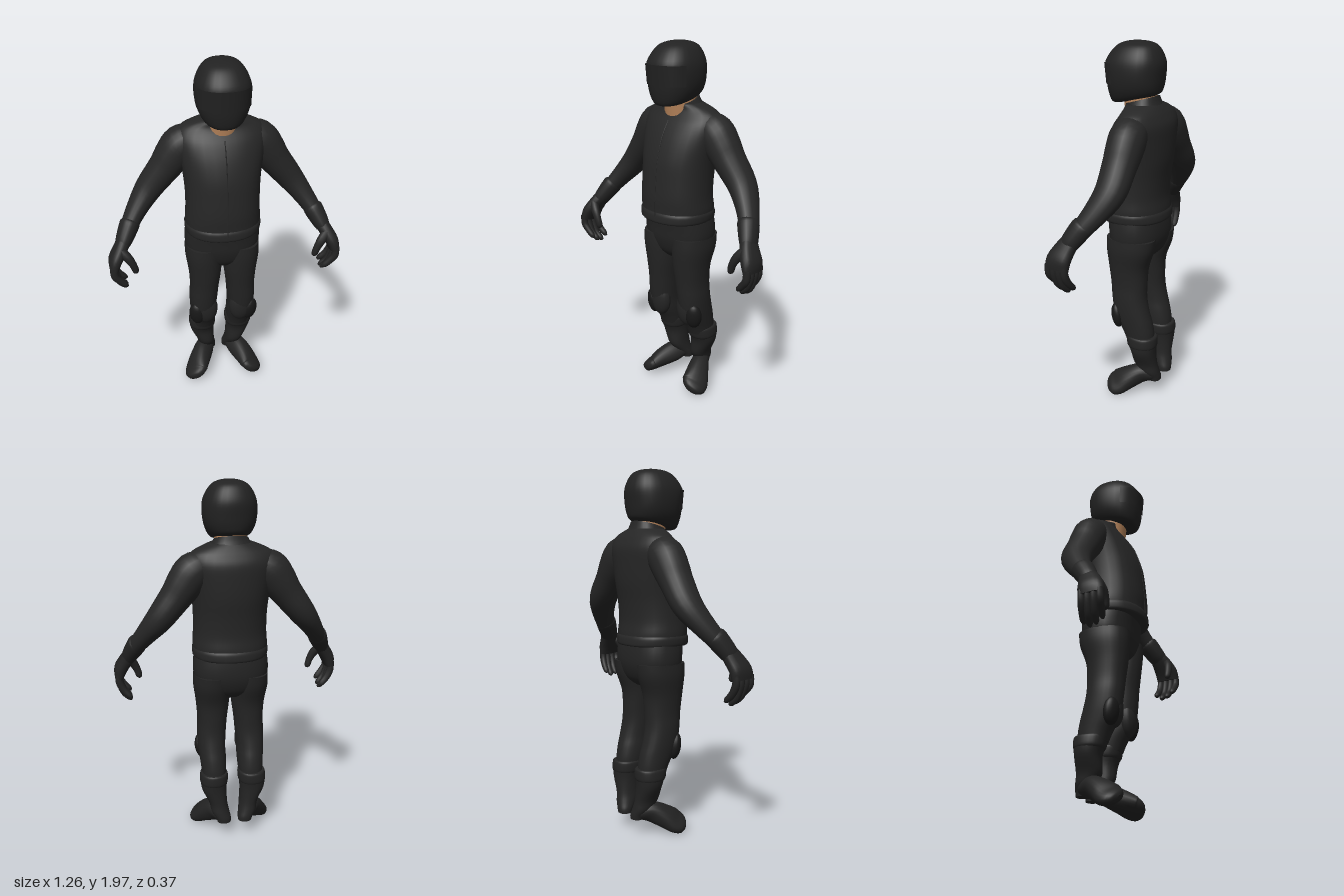
import * as THREE from 'three';

const mat = (name, color) => Object.assign(new THREE.MeshStandardMaterial({ color }), { name });
const V = (x, y, z) => new THREE.Vector3(x, y, z);

// Smoothly resample rows of numbers
function smooth(rows, per = 4) {
  const out = [];
  const at = (i) => rows[Math.min(Math.max(i, 0), rows.length - 1)];
  for (let i = 0; i < rows.length - 1; i++) {
    for (let k = 0; k < per; k++) {
      const t = k / per;
      out.push(rows[i].map((b, c) => {
        const a = at(i - 1)[c], d = at(i + 1)[c], e = at(i + 2)[c];
        return b + 0.5 * t * (d - a + t * (2 * a - 5 * b + 4 * d - e + t * (3 * (b - d) + e - a)));
      }));
    }
  }
  out.push(rows[rows.length - 1]);
  return out;
}

// Skin closed rings of points, with both ends capped
function skin(rings) {
  const n = rings[0].length, pos = [], idx = [];
  rings.forEach((r) => r.forEach((p) => pos.push(p.x, p.y, p.z)));
  for (let j = 0; j < rings.length - 1; j++) {
    for (let i = 0; i < n; i++) {
      const a = j * n + i, b = j * n + (i + 1) % n;
      idx.push(a, a + n, b, b, a + n, b + n);
    }
  }
  [rings[0], rings[rings.length - 1]].forEach((r, end) => {
    const base = pos.length / 3;
    const c = r.reduce((s, p) => s.add(p), V(0, 0, 0)).divideScalar(n);
    [...r, c].forEach((p) => pos.push(p.x, p.y, p.z));
    for (let i = 0; i < n; i++) {
      const a = base + i, b = base + (i + 1) % n;
      idx.push(base + n, ...(end ? [b, a] : [a, b]));
    }
  });
  const g = new THREE.BufferGeometry();
  g.setAttribute('position', new THREE.Float32BufferAttribute(pos, 3));
  g.setIndex(idx);
  g.computeVertexNormals();
  return g;
}

// Superellipse coordinates around a section
const pw = (v, e) => Math.sign(v) * Math.abs(v) ** (2 / e);
const around = (e, n = 28) => Array.from({ length: n }, (_, i) => {
  const a = i / n * Math.PI * 2;
  return [pw(Math.cos(a), e), pw(Math.sin(a), e)];
});

// Level sections from bottom to top: [y, cx, cz, rx, rz, tilt]
const stack = (rows, e = 2.2) => skin(smooth(rows).map(([y, cx, cz, rx, rz, tilt = 0]) =>
  around(e).map(([c, s]) => V(cx + rx * c, y + tilt * rz * s, cz + rz * s))));

// Sections across a path: [x, y, z, ra, rb]
function limb(rows, ref = V(0, 0, 1), e = 2, n = 20) {
  const rs = smooth(rows);
  return skin(rs.map((r, i) => {
    const p = rs[Math.max(i - 1, 0)], q = rs[Math.min(i + 1, rs.length - 1)];
    const t = V(q[0] - p[0], q[1] - p[1], q[2] - p[2]).normalize();
    const a = t.clone().cross(ref).normalize(), b = a.clone().cross(t);
    return around(e, n).map(([c, s]) => V(r[0], r[1], r[2]).addScaledVector(a, r[3] * c).addScaledVector(b, r[4] * s));
  }));
}

function mirror(g) {
  const m = g.clone().scale(-1, 1, 1), ix = m.index.array;
  for (let i = 0; i < ix.length; i += 3) [ix[i], ix[i + 1]] = [ix[i + 1], ix[i]];
  m.computeVertexNormals();
  return m;
}

export function createModel() {
  const root = new THREE.Group();
  root.name = 'rider';
  const jacket = mat('jacketBlack', 0x262626), trouser = mat('trouserBlack', 0x242424);
  const leather = mat('leatherBlack', 0x232323), shell = mat('helmetBlack', 0x222222);
  const dark = mat('trimBlack', 0x181818), skinTone = mat('skin', 0xb5835a);
  const add = (name, g, m) => {
    const mesh = new THREE.Mesh(g, m);
    mesh.name = name;
    root.add(mesh);
  };
  const pair = (name, g, m) => {
    add(name + 'Left', g, m);
    add(name + 'Right', mirror(g), m);
  };

  // Helmet: flat chin bar, bulging brow and rounded crown
  const helmetRows = [
    [1.70, 0, 0.015, 0.075, 0.105, -0.2], [1.715, 0, 0.01, 0.105, 0.132, -0.2],
    [1.76, 0, 0.012, 0.13, 0.145, -0.1], [1.82, 0, 0.013, 0.142, 0.152, 0],
    [1.885, 0, 0.014, 0.14, 0.158, 0], [1.935, 0, 0.008, 0.122, 0.138, 0],
    [1.975, 0, 0.002, 0.092, 0.106, 0], [1.993, 0, 0, 0.055, 0.066, 0], [2, 0, 0, 0.015, 0.018, 0]];
  add('helmet', stack(helmetRows, 2.3), shell);
  // Visor: thin face wrapped over the front of the helmet
  const visor = new THREE.PlaneGeometry(1, 1, 24, 4);
  const vp = visor.attributes.position;
  for (let i = 0; i < vp.count; i++) {
    const a = vp.getX(i) * 2.3, k = vp.getY(i) + 0.5;
    const rx = 0.141 + 0.004 * k, rz = 0.151 + 0.011 * k;
    vp.setXYZ(i, rx * pw(Math.sin(a), 2.3), 1.785 + 0.105 * k, 0.014 + rz * pw(Math.cos(a), 2.3));
  }
  visor.computeVertexNormals();
  add('visor', visor, shell);
  add('neck', stack([[1.6, 0, -0.03, 0.085, 0.09], [1.75, 0, -0.01, 0.085, 0.085]]), skinTone);

  // Jacket body, hem and collar
  add('jacketBody', stack([
    [1.085, 0, 0.005, 0.198, 0.172], [1.13, 0, 0.005, 0.204, 0.172], [1.2, 0, 0.01, 0.2, 0.17],
    [1.3, 0, 0.003, 0.2, 0.17], [1.4, 0, -0.01, 0.208, 0.171], [1.5, 0, -0.027, 0.225, 0.158],
    [1.58, 0, -0.045, 0.236, 0.137], [1.63, 0, -0.053, 0.222, 0.108], [1.66, 0, -0.05, 0.18, 0.092],
    [1.685, 0, -0.038, 0.115, 0.085]]), jacket);
  add('hemBand', stack([[1.065, 0, 0.005, 0.196, 0.176], [1.075, 0, 0.005, 0.205, 0.181],
    [1.105, 0, 0.005, 0.208, 0.179], [1.12, 0, 0.005, 0.203, 0.172]]), jacket);
  add('collar', stack([[1.65, 0, -0.045, 0.125, 0.09, -0.1], [1.68, 0, -0.035, 0.103, 0.085, -0.2],
    [1.703, 0, -0.025, 0.09, 0.088, -0.27]]), jacket);

  // Front zip, pocket zips and chest pocket slit, as thin strips
  const strip = (pts, r) => new THREE.TubeGeometry(new THREE.CatmullRomCurve3(pts.map((p) => V(...p))), 12, r, 5);
  add('frontZip', strip([[0, 1.08, 0.183], [0, 1.2, 0.179], [0, 1.4, 0.16], [0, 1.52, 0.125], [0, 1.6, 0.078]], 0.003), jacket);
  pair('pocketZip', strip([[0.135, 1.16, 0.137], [0.15, 1.24, 0.122], [0.145, 1.32, 0.12]], 0.004), dark);
  add('chestPocket', strip([[0.115, 1.53, 0.094], [0.14, 1.54, 0.076], [0.162, 1.545, 0.06]], 0.004), dark);

  // Sleeves, slightly bent at the elbow
  pair('sleeve', limb([
    [0.13, 1.58, -0.055, 0.075, 0.08], [0.2, 1.545, -0.06, 0.1, 0.097], [0.25, 1.48, -0.062, 0.098, 0.096],
    [0.3, 1.41, -0.063, 0.085, 0.09], [0.385, 1.3, -0.062, 0.072, 0.084], [0.46, 1.2, -0.015, 0.055, 0.066],
    [0.52, 1.11, 0.045, 0.043, 0.05]]), jacket);

  // Gloves: cuff, palm, four curled fingers and a thumb
  pair('gloveCuff', limb([[0.495, 1.155, 0.02, 0.044, 0.052], [0.503, 1.14, 0.03, 0.053, 0.06],
    [0.535, 1.08, 0.068, 0.046, 0.054], [0.55, 1.05, 0.085, 0.038, 0.05]]), leather);
  pair('palm', limb([[0.535, 1.08, 0.07, 0.036, 0.045], [0.565, 1.03, 0.095, 0.037, 0.058],
    [0.593, 0.98, 0.113, 0.036, 0.067], [0.603, 0.935, 0.118, 0.026, 0.066]], undefined, 2.4), leather);
  [0, 1, 2, 3].forEach((i) => {
    const z = 0.07 + 0.032 * i, d = [0.0, -0.02, -0.012, 0.012][i];
    pair('finger' + (i + 1), limb([[0.606, 0.96, z, 0.02, 0.017], [0.604, 0.91, z, 0.021, 0.019],
      [0.583, 0.865 + d, z - 0.004, 0.019, 0.018], [0.552, 0.832 + d, z - 0.01, 0.016, 0.016],
      [0.537, 0.822 + d, z - 0.012, 0.006, 0.006]], undefined, 2, 10), leather);
  });
  pair('thumb', limb([[0.56, 1.04, 0.125, 0.026, 0.026], [0.526, 1.0, 0.145, 0.025, 0.024],
    [0.502, 0.955, 0.15, 0.02, 0.02], [0.491, 0.918, 0.148, 0.017, 0.017],
    [0.489, 0.905, 0.147, 0.006, 0.006]], undefined, 2, 10), leather);

  // Trousers: hips and two legs
  add('hips', stack([[0.84, 0, -0.01, 0.07, 0.075], [0.88, 0, -0.015, 0.16, 0.115], [0.95, 0, -0.017, 0.2, 0.14],
    [1.02, 0, -0.015, 0.206, 0.145], [1.1, 0, -0.005, 0.196, 0.145]], 2.4), trouser);
  pair('trouserLeg', stack([
    [0.37, 0.105, -0.075, 0.065, 0.08], [0.42, 0.105, -0.063, 0.07, 0.09], [0.48, 0.107, -0.04, 0.074, 0.102],
    [0.54, 0.11, -0.022, 0.076, 0.103], [0.62, 0.108, -0.008, 0.08, 0.1], [0.7, 0.103, -0.003, 0.082, 0.103],
    [0.8, 0.1, 0, 0.092, 0.113], [0.9, 0.104, -0.012, 0.102, 0.135], [0.97, 0.104, -0.017, 0.1, 0.14]]), trouser);
  // Knee panel and outer slider
  pair('kneePanel', new THREE.SphereGeometry(1, 20, 14).scale(0.066, 0.1, 0.045).translate(0.1, 0.54, 0.04), trouser);
  pair('kneeSlider', new THREE.SphereGeometry(1, 20, 14).scale(0.045, 0.073, 0.032)
    .rotateX(0.15).rotateY(0.6).translate(0.157, 0.51, 0.045), dark);

  // Boots: shaft with heel, top cuff and a foot turned out with its sole tipped inward
  pair('bootShaft', stack([
    [0.11, 0.06, -0.143, 0.038, 0.036], [0.135, 0.064, -0.138, 0.043, 0.042], [0.17, 0.078, -0.12, 0.05, 0.055],
    [0.22, 0.088, -0.1, 0.052, 0.068], [0.3, 0.108, -0.098, 0.069, 0.07], [0.36, 0.109, -0.089, 0.076, 0.084]]), leather);
  pair('bootCuff', stack([[0.335, 0.109, -0.091, 0.072, 0.078], [0.35, 0.109, -0.09, 0.078, 0.085],
    [0.39, 0.107, -0.086, 0.077, 0.088], [0.4, 0.107, -0.085, 0.07, 0.083]]), leather);
  pair('bootFoot', limb([
    [0.062, 0.15, -0.16, 0.025, 0.022], [0.072, 0.15, -0.135, 0.042, 0.04], [0.1, 0.145, -0.075, 0.05, 0.06],
    [0.138, 0.115, -0.01, 0.066, 0.054], [0.165, 0.085, 0.04, 0.077, 0.04], [0.174, 0.076, 0.07, 0.066, 0.033],
    [0.179, 0.071, 0.09, 0.042, 0.024], [0.181, 0.069, 0.098, 0.012, 0.01]], V(0.59, 0.81, 0), 2.3, 24), leather);
  return root;
}
